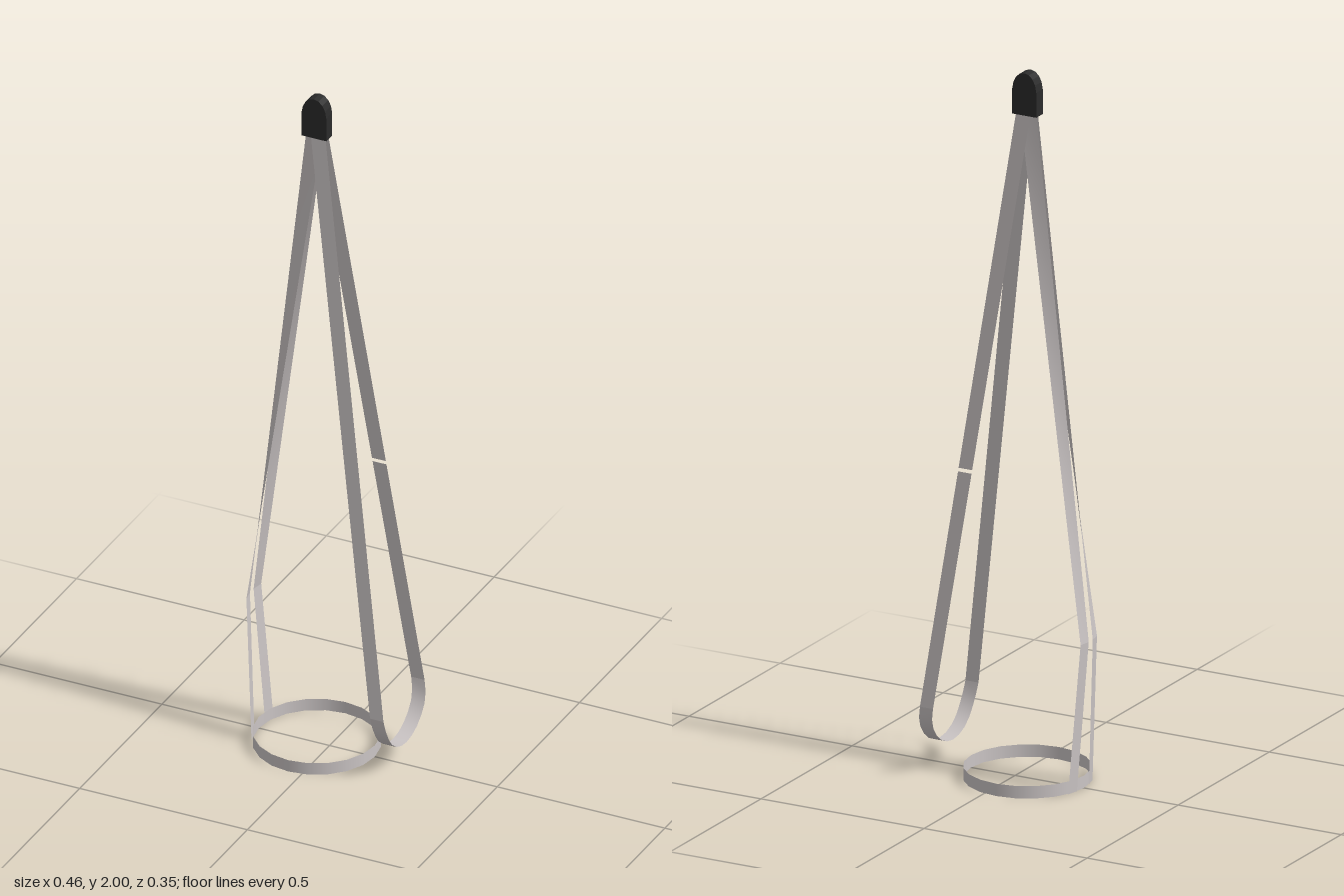
import * as THREE from 'three';

const steel = new THREE.MeshStandardMaterial({ color: 0xcbc5c5, side: THREE.DoubleSide });
steel.name = 'steel';
const rubber = new THREE.MeshStandardMaterial({ color: 0x2b2b2b });
rubber.name = 'darkRubber';

// Thin strip through pairs of edge points [left, right]
function ribbon(name, pairs) {
  const pos = [], index = [];
  pairs.forEach(([a, b], i) => {
    pos.push(...a, ...b);
    if (i) {
      const k = 2 * i;
      index.push(k - 2, k - 1, k, k, k - 1, k + 1);
    }
  });
  const g = new THREE.BufferGeometry();
  g.setAttribute('position', new THREE.Float32BufferAttribute(pos, 3));
  g.setIndex(index);
  g.computeVertexNormals();
  const mesh = new THREE.Mesh(g, steel);
  mesh.name = name;
  return mesh;
}

const mix = (a, b, t) => a.map((v, i) => v + (b[i] - v) * t);

// Straight, possibly twisted, strip between two end pairs
function strip(name, from, to, t0 = 0, t1 = 1, n = 10) {
  const pairs = [];
  for (let i = 0; i <= n; i++) {
    const t = t0 + (t1 - t0) * i / n;
    pairs.push([mix(from[0], to[0], t), mix(from[1], to[1], t)]);
  }
  return ribbon(name, pairs);
}

export function createModel() {
  const model = new THREE.Group();

  // Rounded end cap
  const s = new THREE.Shape();
  s.moveTo(-0.037, 1.88);
  s.lineTo(0.037, 1.88);
  s.lineTo(0.037, 1.95);
  s.bezierCurveTo(0.035, 1.98, 0.02, 2, 0, 2);
  s.bezierCurveTo(-0.02, 2, -0.035, 1.98, -0.037, 1.95);
  s.closePath();
  const capGeo = new THREE.ExtrudeGeometry(s, { depth: 0.036, bevelEnabled: false, curveSegments: 4 });
  capGeo.translate(-0.038, 0, -0.018);
  const cap = new THREE.Mesh(capGeo, rubber);
  cap.name = 'endCap';
  model.add(cap);

  // Base ring
  const ring = new THREE.Mesh(new THREE.CylinderGeometry(0.173, 0.173, 0.035, 20, 1, true), steel);
  ring.name = 'baseRing';
  ring.position.set(-0.038, 0.0175, 0);
  model.add(ring);

  for (const m of [1, -1]) {
    const side = m > 0 ? 'front' : 'back';

    // Twisted arm down to the ring
    const top = [[-0.067, 1.89, 0.004 * m], [-0.018, 1.89, 0.006 * m]];
    const knee = [[-0.232, 0.42, 0.011 * m], [-0.226, 0.42, 0.045 * m]];
    const foot = [[-0.208, 0, 0.033 * m], [-0.2, 0, 0.067 * m]];
    model.add(strip(side + 'RingArmUpper', top, knee));
    model.add(strip(side + 'RingArmLower', knee, foot, 0, 1, 4));

    // Arm of the hanging loop; the back one has a small joint gap
    const start = [[-0.053, 1.89, 0.008 * m], [-0.009, 1.89, 0.008 * m]];
    const end = [[0.182, 0.195, 0.125 * m], [0.222, 0.195, 0.125 * m]];
    if (m > 0) {
      model.add(strip('frontLoopArm', start, end));
    } else {
      model.add(strip('backLoopArmUpper', start, end, 0, 0.6));
      model.add(strip('backLoopArmLower', start, end, 0.606, 1));
    }
  }

  // Rounded bottom of the loop
  const arc = [];
  for (let i = 0; i <= 12; i++) {
    const a = Math.PI * i / 12;
    const x = 0.182 + 0.008 * Math.min(1, Math.sin(a) * 2.5);
    const y = 0.195 - 0.125 * Math.sin(a), z = 0.125 * Math.cos(a);
    arc.push([[x, y, z], [x + 0.04, y, z]]);
  }
  model.add(ribbon('loopBend', arc));

  return model;
}
